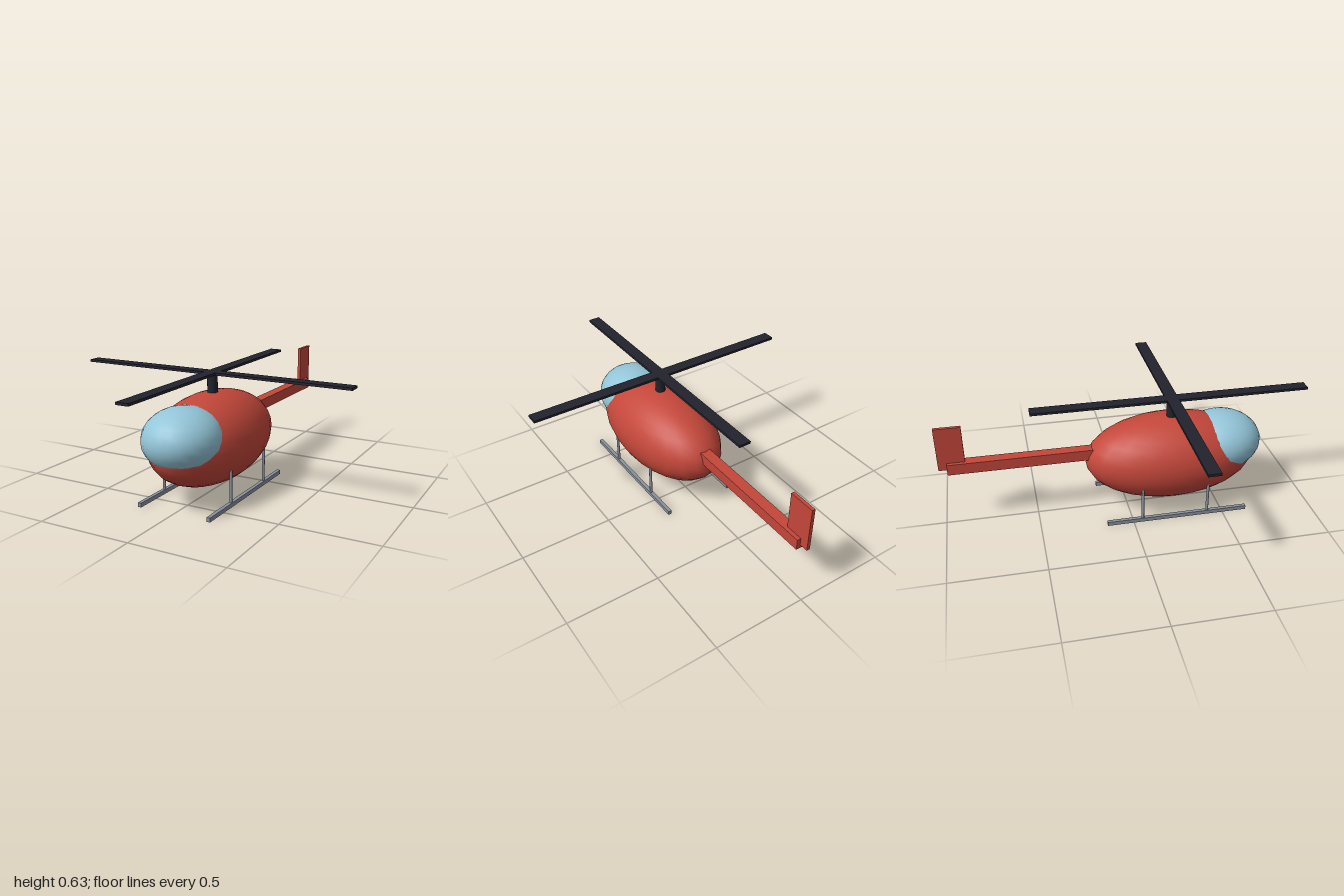
import * as THREE from 'three';

const paint = (name, color) => {
  const m = new THREE.MeshStandardMaterial({ color });
  m.name = name;
  return m;
};

export function createModel() {
  const red = paint('red', 0xc4473a);
  const glass = paint('glass blue', 0x93c5d8);
  const dark = paint('dark', 0x22222e);
  const grey = paint('grey', 0x8a919c);

  const model = new THREE.Group();
  model.name = 'helicopter';

  const add = (name, geometry, material, x, y, z) => {
    const mesh = new THREE.Mesh(geometry, material);
    mesh.name = name;
    mesh.position.set(x, y, z);
    model.add(mesh);
    return mesh;
  };
  const box = (w, h, d) => new THREE.BoxGeometry(w, h, d);
  const ellipsoid = (rx, ry, rz) => new THREE.SphereGeometry(1, 24, 16).scale(rx, ry, rz);

  const axisZ = 0.245; // rotor axis and cabin centre

  // Cabin with the glass bubble emerging from its nose
  add('cabin', ellipsoid(0.25, 0.235, 0.472), red, 0, 0.295, axisZ);
  add('canopy', ellipsoid(0.2, 0.16, 0.22), glass, 0, 0.355, 0.53);

  // Tail
  add('tailBoom', box(0.06, 0.06, 0.805), red, 0, 0.35, -0.5525);
  add('tailFin', box(0.018, 0.245, 0.14), red, 0, 0.4625, -0.93);

  // Mast and two crossed blades
  add('mast', new THREE.CylinderGeometry(0.027, 0.027, 0.13, 16), dark, 0, 0.565, axisZ);
  add('bladeAcross', box(1.51, 0.013, 0.066), dark, 0, 0.6285, axisZ);
  add('bladeAlong', box(0.066, 0.013, 1.51), dark, 0, 0.6285, axisZ);

  // Landing skids, each on two struts
  for (const [side, s] of [['left', 1], ['right', -1]]) {
    const x = s * 0.197;
    add(side + 'Skid', box(0.02, 0.022, 0.78), grey, x, 0.011, axisZ);
    for (const [end, z] of [['Front', 0.412], ['Rear', 0.05]]) {
      add(side + end + 'Strut', new THREE.CylinderGeometry(0.008, 0.008, 0.19, 8), grey, x, 0.111, z);
    }
  }
  return model;
}
